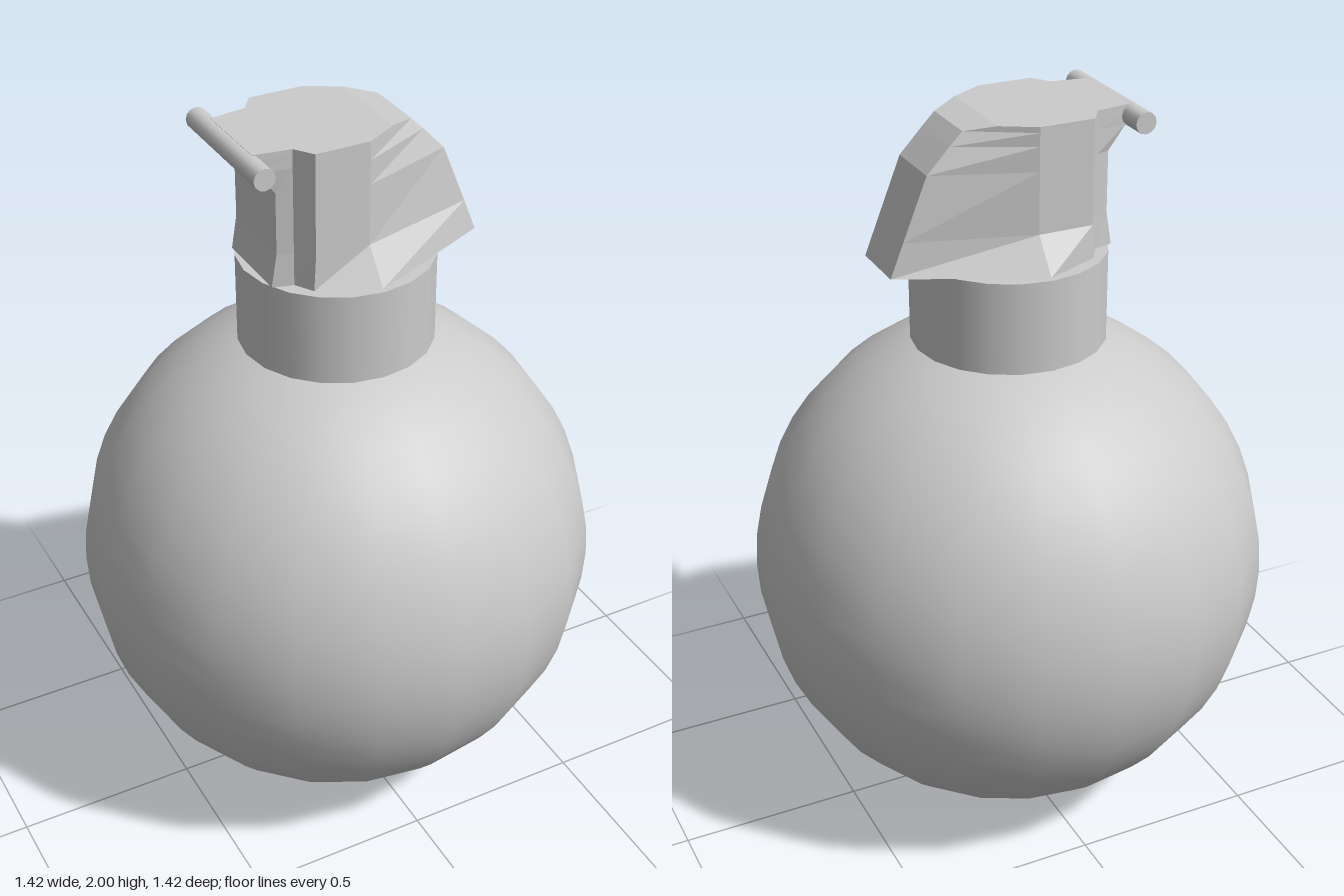
import * as THREE from 'three';

const material = new THREE.MeshStandardMaterial({ color: 0xcccccc });
const flatMaterial = new THREE.MeshStandardMaterial({ color: 0xcccccc, flatShading: true });

function addPart(group, name, geometry, x, y, z, mat = material) {
  const mesh = new THREE.Mesh(geometry, mat);
  mesh.name = name;
  mesh.position.set(x, y, z);
  group.add(mesh);
  return mesh;
}

// Half outline of the head at one height, as [x, z] from back to nose
function section(y, backX, sideX, midZ, noseX, noseZ) {
  return { y, half: [[backX, 0.115], [-0.185, 0.13], [sideX, 0.18], [0, midZ], [noseX, noseZ]] };
}

// Lofts mirrored half outlines and closes both ends
function loftHead(sections) {
  const positions = [], index = [];
  const n = sections[0].half.length, ring = n * 2;
  for (const { y, half } of sections) {
    for (const [x, z] of half) positions.push(x, y, z);
    for (const [x, z] of [...half].reverse()) positions.push(x, y, -z);
  }
  const quad = (a, b, c, d) => index.push(a, b, c, a, c, d);
  for (let s = 0; s < sections.length - 1; s++) {
    for (let i = 0; i < ring; i++) {
      const j = (i + 1) % ring, lo = s * ring, hi = lo + ring;
      quad(lo + i, lo + j, hi + j, hi + i);
    }
  }
  const top = (sections.length - 1) * ring;
  for (let i = 0; i < n - 1; i++) {
    const m = ring - 1 - i;
    quad(top + i, top + i + 1, top + m - 1, top + m);
    quad(m, m - 1, i + 1, i);
  }
  const geometry = new THREE.BufferGeometry();
  geometry.setAttribute('position', new THREE.Float32BufferAttribute(positions, 3));
  geometry.setIndex(index);
  const flat = geometry.toNonIndexed();
  flat.computeVertexNormals();
  return flat;
}

export function createModel() {
  const model = new THREE.Group();
  model.name = 'roundCanister';

  // Round body
  addPart(model, 'body', new THREE.SphereGeometry(0.708, 20, 24), 0, 0.708, 0);

  // Neck collar
  addPart(model, 'collar', new THREE.CylinderGeometry(0.262, 0.262, 0.25, 20), 0, 1.503, 0);

  // Faceted head with flared foot, sloping nose and rear lip
  const head = loftHead([
    section(1.63, -0.24, -0.155, 0.25, 0.365, 0.085),
    section(1.72, -0.225, -0.15, 0.18, 0.329, 0.085),
    section(1.885, -0.225, -0.15, 0.18, 0.262, 0.085),
    section(1.95, -0.275, -0.15, 0.18, 0.2, 0.085),
    section(1.985, -0.285, -0.15, 0.18, 0.165, 0.085),
    section(2.0, -0.285, -0.15, 0.18, 0.09, 0.128),
  ]);
  addPart(model, 'head', head, 0, 0, 0, flatMaterial);

  // Cross pin at the rear lip
  const pin = addPart(model, 'pin', new THREE.CylinderGeometry(0.029, 0.029, 0.385, 12), -0.289, 1.971, 0);
  pin.rotation.x = Math.PI / 2;

  return model;
}
